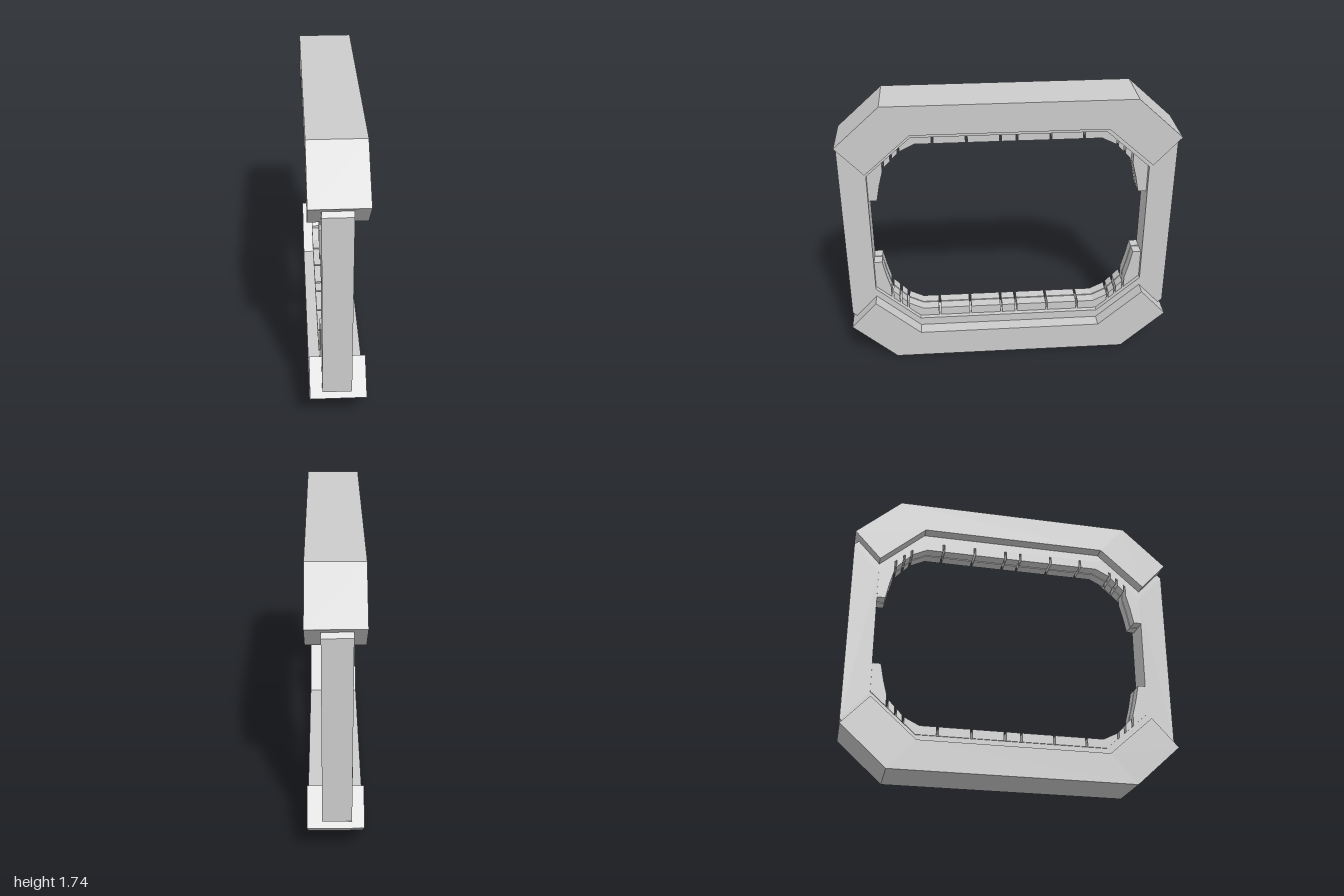
import * as THREE from 'three';

const HEIGHT = 1.735;
const material = new THREE.MeshStandardMaterial({ color: 0xcccccc, flatShading: true });

// Mirror helpers for [z, y] profile points
const flipY = (pts) => pts.map(([z, y]) => [z, HEIGHT - y]);
const flipZ = (pts) => pts.map(([z, y]) => [-z, y]);
const bothSides = (pts) => [...pts, ...flipZ(pts).reverse()];
const toVectors = (pts) => pts.map(([z, y]) => new THREE.Vector2(-z, y));

// Extrude a [z, y] outline across x from x0 to x1
function slab(name, outline, x0, x1, hole) {
  const shape = new THREE.Shape(toVectors(outline));
  if (hole) shape.holes.push(new THREE.Path(toVectors(hole)));
  const geometry = new THREE.ExtrudeGeometry(shape, { depth: x1 - x0, bevelEnabled: false });
  geometry.rotateY(Math.PI / 2);
  geometry.translate(x0, 0, 0);
  const mesh = new THREE.Mesh(geometry, material);
  mesh.name = name;
  return mesh;
}

// Height of a polyline [z, y] (z descending) at a given z
function heightAt(line, z) {
  for (let i = 0; i < line.length - 1; i++) {
    const [za, ya] = line[i], [zb, yb] = line[i + 1];
    if (z <= za && z >= zb) return ya + ((yb - ya) * (za - z)) / (za - zb);
  }
  return line[line.length - 1][1];
}

// Part of a polyline between z0 (larger) and z1
function cut(line, z0, z1) {
  const inner = line.filter(([z]) => z < z0 - 1e-6 && z > z1 + 1e-6);
  return [[z0, heightAt(line, z0)], ...inner, [z1, heightAt(line, z1)]];
}

export function createModel() {
  const group = new THREE.Group();
  group.name = 'octagonalFrame';

  // Heavy bottom and top beams with sloping ends
  const beam = [...bothSides([[1, 0.245], [0.73, 0]]),
    ...bothSides([[0.84, 0.418], [0.57, 0.178]]).reverse()];
  group.add(slab('bottomBeam', beam, -0.16, 0.16));
  group.add(slab('topBeam', flipY(beam), -0.16, 0.16));

  // Slim ring joining the beams; its straight sides are the posts
  const ring = (corner) => {
    const low = bothSides(corner);
    return [...low, ...flipY(low).reverse()];
  };
  const outer = ring([[1, 0.295], [0.73, 0.055]]);
  const inner = ring([[0.84, 0.47], [0.57, 0.23]]);
  group.add(slab('innerRing', outer, -0.09, 0.075, inner));

  // Segmented pads lining the ring, in two lanes
  const base = bothSides([[0.84, 0.47], [0.57, 0.23]]);
  const face = bothSides([[0.79, 0.65], [0.77, 0.55], [0.74, 0.435], [0.64, 0.33], [0.55, 0.285]]);
  const gaps = [0.74, 0.69, 0.645, 0.445, 0.247, 0.048];
  const cuts = [...gaps, ...gaps.map((z) => -z).reverse()];
  const g = 0.006;
  const pads = [];
  for (let i = 0; i < cuts.length - 1; i++) {
    const z0 = cuts[i] - g, z1 = cuts[i + 1] + g;
    pads.push([...cut(base, z0, z1), ...cut(face, z0, z1).reverse()]);
  }
  // Tall curved end pads
  const end = cuts[0] + g;
  const endPad = [[0.84, 0.65], ...cut(base, 0.84, end), ...cut(face, 0.79, end).reverse()];
  pads.push(endPad, flipZ(endPad));

  const lanes = [[-0.097, -0.03], [-0.022, 0.045]];
  for (const [name, flip] of [['bottomPads', false], ['topPads', true]]) {
    const lining = new THREE.Group();
    lining.name = name;
    for (const pad of pads)
      for (const [x0, x1] of lanes) lining.add(slab('pad', flip ? flipY(pad) : pad, x0, x1));
    group.add(lining);
  }
  return group;
}
